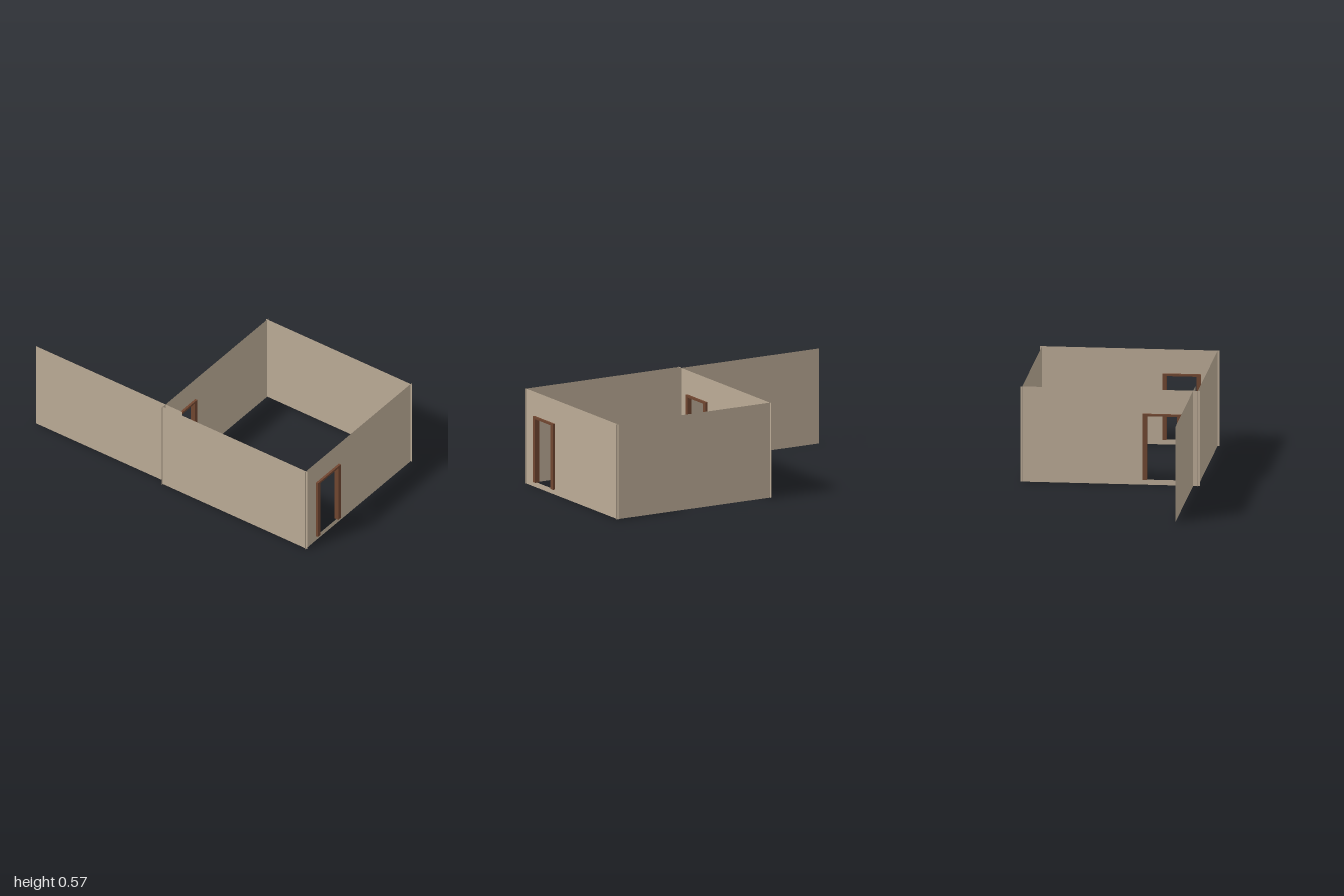
import * as THREE from 'three';

const HEIGHT = 0.573;
const DOOR = { x0: -0.42, x1: -0.193, y0: 0.031, y1: 0.428, jamb: 0.025, head: 0.013, depth: 0.028 };

export function createModel() {
  const model = new THREE.Group();
  const wallPaint = new THREE.MeshStandardMaterial({ color: 0xbbab96, side: THREE.DoubleSide });
  wallPaint.name = 'wall beige';
  const wood = new THREE.MeshStandardMaterial({ color: 0x704630 });
  wood.name = 'door frame brown';

  // Thin wall across x with a doorway, plus its wooden frame
  function doorWall(name, z) {
    const { x0, x1, y0, y1, jamb, head, depth } = DOOR;
    const shape = new THREE.Shape();
    shape.moveTo(-0.53, 0).lineTo(0.53, 0).lineTo(0.53, HEIGHT).lineTo(-0.53, HEIGHT).closePath();
    const a = x0 + jamb / 2, b = x1 - jamb / 2, top = y1 - head / 2;
    const hole = new THREE.Path();
    hole.moveTo(a, y0).lineTo(a, top).lineTo(b, top).lineTo(b, y0).closePath();
    shape.holes.push(hole);
    const wall = new THREE.Mesh(new THREE.ShapeGeometry(shape), wallPaint);
    wall.name = name;
    wall.position.z = z;
    model.add(wall);

    const frame = new THREE.Group();
    frame.name = name + 'DoorFrame';
    const bar = (part, w, h, x, y) => {
      const mesh = new THREE.Mesh(new THREE.BoxGeometry(w, h, depth), wood);
      mesh.name = part;
      mesh.position.set(x, y, z);
      frame.add(mesh);
    };
    const jambHeight = y1 - head - y0;
    bar('rightJamb', jamb, jambHeight, x0 + jamb / 2, y0 + jambHeight / 2);
    bar('leftJamb', jamb, jambHeight, x1 - jamb / 2, y0 + jambHeight / 2);
    bar('lintel', x1 - x0, head, (x0 + x1) / 2, y1 - head / 2);
    model.add(frame);
  }

  // Thin wall running along z
  function sideWall(name, x, z0, z1) {
    const wall = new THREE.Mesh(new THREE.PlaneGeometry(z1 - z0, HEIGHT), wallPaint);
    wall.name = name;
    wall.rotation.y = Math.PI / 2;
    wall.position.set(x, HEIGHT / 2, (z0 + z1) / 2);
    model.add(wall);
  }

  doorWall('frontWall', 0.986);
  doorWall('middleWall', -0.057);
  sideWall('leftWall', 0.518, -0.067, 0.997);
  sideWall('rightWall', -0.518, -0.067, 0.997);
  sideWall('rearWingWall', -0.49, -1, 0.063);

  return model;
}
